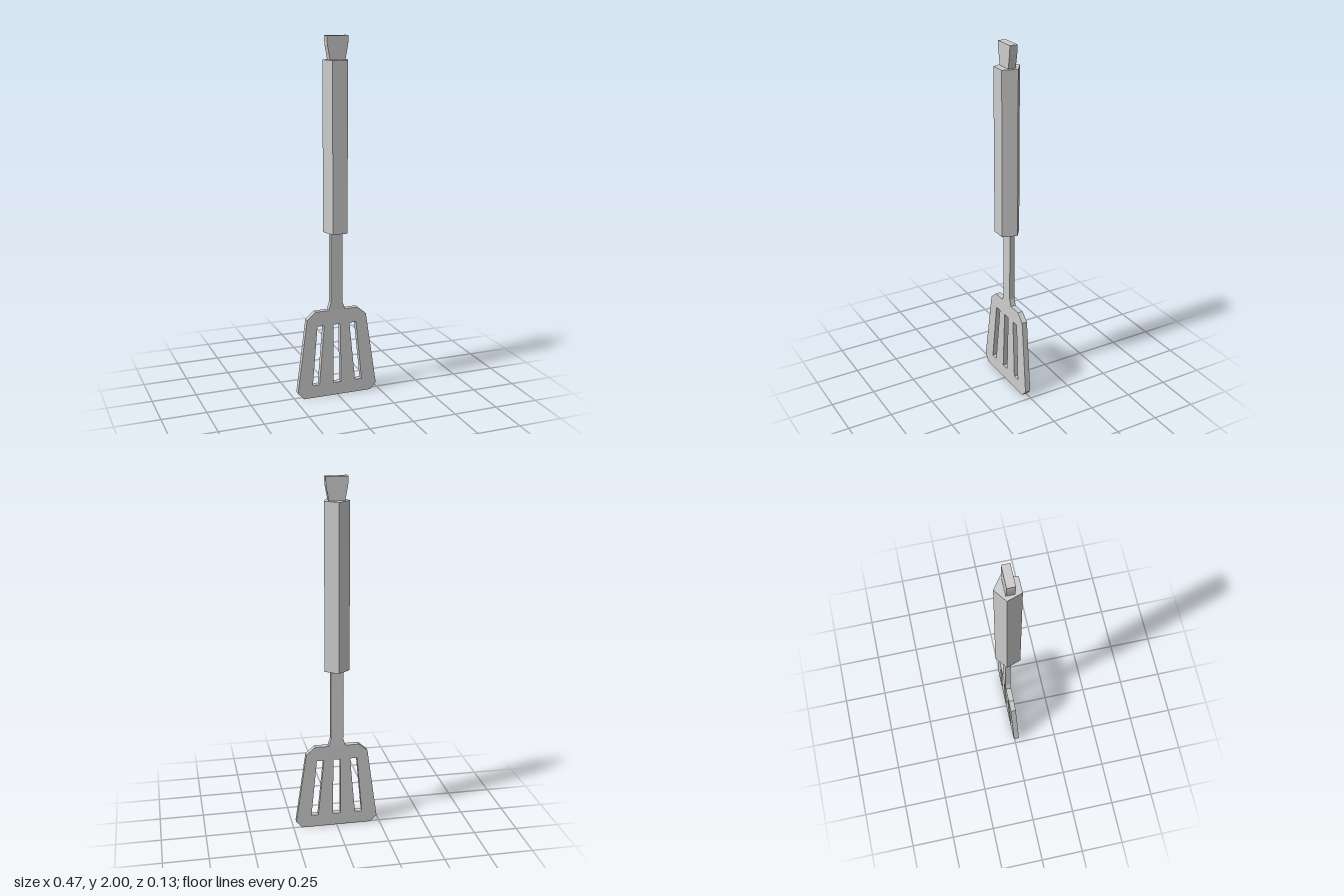
import * as THREE from 'three';

const THICK = 0.031;
const material = new THREE.MeshStandardMaterial({ color: 0xcccccc, flatShading: true });

const toPoints = (pairs) => pairs.map(([x, y]) => new THREE.Vector2(x, y));

// Closed outline from its right half, listed bottom to top
function mirrored(half) {
  return toPoints([...half, ...half.map(([x, y]) => [-x, y]).reverse()]);
}

function plate(shape, depth, back) {
  const geometry = new THREE.ExtrudeGeometry(shape, { depth, bevelEnabled: false });
  return geometry.translate(0, 0, back);
}

export function createModel() {
  const group = new THREE.Group();
  const add = (name, geometry) => {
    const mesh = new THREE.Mesh(geometry, material);
    mesh.name = name;
    group.add(mesh);
    return mesh;
  };

  // Slotted blade with a flared neck, leaning forward towards its tip
  const blade = new THREE.Shape(mirrored([
    [0.2, 0], [0.235, 0.038], [0.175, 0.457], [0.125, 0.5], [0.048, 0.5], [0.035, 0.54],
  ]));
  const slots = [
    [[-0.023, 0.073], [0.023, 0.073], [0.02, 0.415], [-0.02, 0.415]],
    [[0.107, 0.073], [0.147, 0.073], [0.115, 0.415], [0.075, 0.415]],
  ];
  slots.push(slots[1].map(([x, y]) => [-x, y]));
  for (const slot of slots) blade.holes.push(new THREE.Path(toPoints(slot)));
  const bladeGeometry = plate(blade, THICK, -0.005);
  const pos = bladeGeometry.attributes.position;
  for (let i = 0; i < pos.count; i++) {
    pos.setZ(i, pos.getZ(i) - 0.025 * Math.min(pos.getY(i), 0.5));
  }
  bladeGeometry.computeVertexNormals();
  add('blade', bladeGeometry);

  // Flat stem running into the handle
  const stem = new THREE.BoxGeometry(0.07, 0.44, THICK);
  add('stem', stem.translate(0, 0.75, -0.0175 + THICK / 2));

  // Five-sided handle with one edge to the back
  const handle = new THREE.CylinderGeometry(0.0725, 0.0725, 0.93, 5, 1, false, Math.PI);
  add('handle', handle.translate(0, 1.41, 0.0065));

  // Flared end tab
  const tab = new THREE.Shape(mirrored([[0.04, 1.86], [0.043, 1.875], [0.058, 1.955], [0.06, 2]]));
  add('endTab', plate(tab, 0.044, -0.016));

  return group;
}
